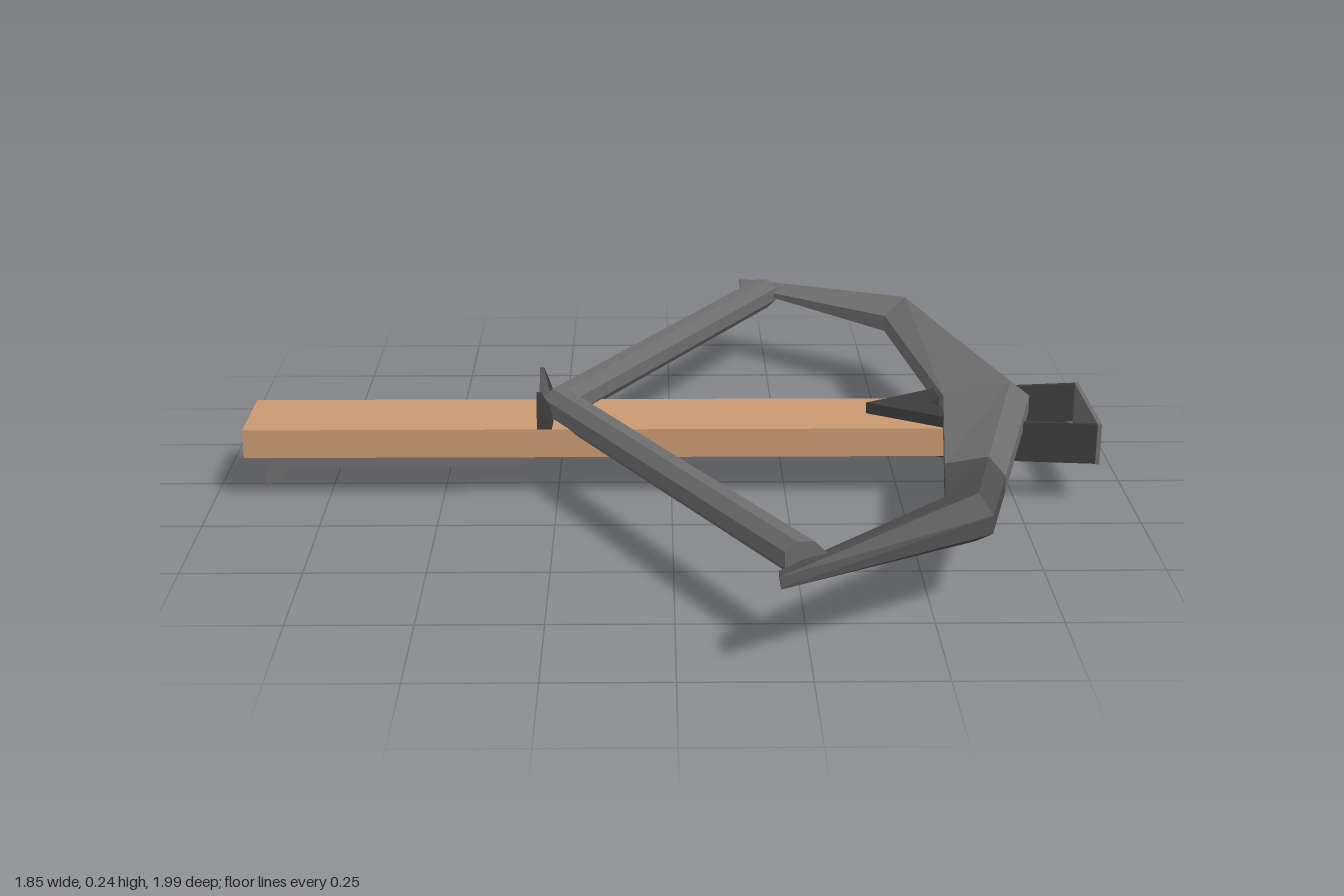
import * as THREE from 'three';

const mat = (name, color) => {
  const m = new THREE.MeshStandardMaterial({ color, flatShading: true });
  m.name = name;
  return m;
};

// Solid skinned over rings of [x, y, z], each counter-clockwise seen from +z
function loft(rings) {
  const n = rings[0].length, last = (rings.length - 1) * n, index = [];
  for (let r = 0; r < rings.length - 1; r++) {
    for (let i = 0; i < n; i++) {
      const j = (i + 1) % n, a = r * n + i, b = r * n + j;
      index.push(a, b, b + n, a, b + n, a + n);
    }
  }
  for (let i = 1; i < n - 1; i++) {
    index.push(0, i + 1, i, last, last + i, last + i + 1);
  }
  const g = new THREE.BufferGeometry();
  g.setAttribute('position', new THREE.Float32BufferAttribute(rings.flat(2), 3));
  g.setIndex(index);
  const flat = g.toNonIndexed();
  flat.computeVertexNormals();
  return flat;
}

const polygon = (pts) => new THREE.Shape(pts.map(([x, y]) => new THREE.Vector2(x, y)));
const extrude = (pts, depth) =>
  new THREE.ExtrudeGeometry(polygon(pts), { depth, bevelEnabled: false });

export function createModel() {
  const group = new THREE.Group();
  const wood = mat('wood', 0xc8996f);
  const steel = mat('steel', 0x6e6e6e);
  const shadedSteel = mat('shaded steel', 0x505050);
  const darkSteel = mat('dark steel', 0x3c3c3c);
  const add = (name, geometry, material) => {
    const m = new THREE.Mesh(geometry, material);
    m.name = name;
    group.add(m);
    return m;
  };

  // Wooden stock
  add('stock', new THREE.BoxGeometry(1.54, 0.064, 0.2), wood).position.set(-0.16, 0.133, 0);

  // Six-sided bow sections: outer edge, ridge and inner edge
  const Y = 0.186;
  const bowRing = ([ox, oz], [rx, rz], [ix, iz], edge, ridge) => [
    [ox, Y - edge, oz], [ox, Y + edge, oz], [rx, Y + ridge, rz],
    [ix, Y + edge, iz], [ix, Y - edge, iz], [rx, Y - ridge, rz],
  ];
  const mirror = (ring) => ring.map(([x, y, z]) => [x, y, -z]);
  const middle = bowRing([0.79, 0], [0.745, 0], [0.6, 0], 0.019, 0.05);
  const knee = bowRing([0.61, 0.7], [0.585, 0.66], [0.53, 0.6], 0.019, 0.05);
  const tip = bowRing([0.187, 0.995], [0.187, 0.955], [0.187, 0.92], 0.002, 0.005);
  const split = middle.map((p, i) => p.map((v, k) => v + (knee[i][k] - v) * 0.7));
  add('bow', loft([mirror(tip), mirror(knee), middle, split]), steel);
  add('leftBowTip', loft([split, knee, tip]), shadedSteel);

  // Thick bowstring drawn back to the catch
  const stringRing = (x, z) => Array.from({ length: 8 }, (_, i) => {
    const a = (i + 0.5) * Math.PI / 4;
    return [x + 0.042 * Math.cos(a), 0.187 + 0.04 * Math.sin(a), z];
  });
  add('bowstring', loft([stringRing(0.24, -0.86), stringRing(-0.245, 0), stringRing(0.24, 0.87)]),
    steel);

  // Notched catch, thinner towards its two points
  const catchShape = [[-0.1, 0.15], [0.1, 0.15], [0.098, 0.19], [0.09, 0.244], [0.08, 0.244],
    [0.02, 0.18], [-0.02, 0.18], [-0.08, 0.244], [-0.09, 0.244], [-0.098, 0.19]];
  const catchGeo = extrude(catchShape, 0.036);
  catchGeo.rotateY(Math.PI / 2).translate(-0.292, 0, 0);
  const p = catchGeo.attributes.position;
  for (let i = 0; i < p.count; i++) {
    const t = Math.max(0, (p.getY(i) - 0.165) / 0.08);
    p.setX(i, -0.292 + (p.getX(i) + 0.292) * (1 - 0.75 * t));
  }
  catchGeo.computeVertexNormals();
  add('stringCatch', catchGeo, darkSteel);

  // Long trigger lever under the stock
  const lever = [[-0.285, 0.102], [-0.285, 0.09], [-0.33, 0.05], [-0.82, 0.05], [-0.85, 0.042],
    [-0.875, 0.022], [-0.9, 0.003], [-0.9, 0.045], [-0.865, 0.078], [-0.82, 0.09],
    [-0.34, 0.09], [-0.315, 0.102]].reverse();
  add('triggerLever', extrude(lever, 0.048).translate(0, 0, -0.024), steel);

  // Arrow-shaped bow mount around the end of the stock
  const mount = [[0.43, 0], [0.605, -0.105], [0.605, -0.045], [0.565, 0], [0.605, 0.045],
    [0.605, 0.105]];
  add('bowMount', extrude(mount, 0.094).rotateX(-Math.PI / 2).translate(0, 0.096, 0), darkSteel);

  // Foot stirrup: two splayed arms and a cross plate
  for (const s of [1, -1]) {
    const dx = 0.325, dz = 0.035;
    const arm = add(s > 0 ? 'leftStirrupArm' : 'rightStirrupArm',
      new THREE.BoxGeometry(Math.hypot(dx, dz), 0.09, 0.01), darkSteel);
    arm.position.set(0.76, 0.142, s * 0.119);
    arm.rotation.y = -s * Math.atan2(dz, dx);
  }
  add('stirrupPlate', new THREE.BoxGeometry(0.009, 0.092, 0.285), steel).position.set(0.92, 0.142, 0);

  return group;
}
